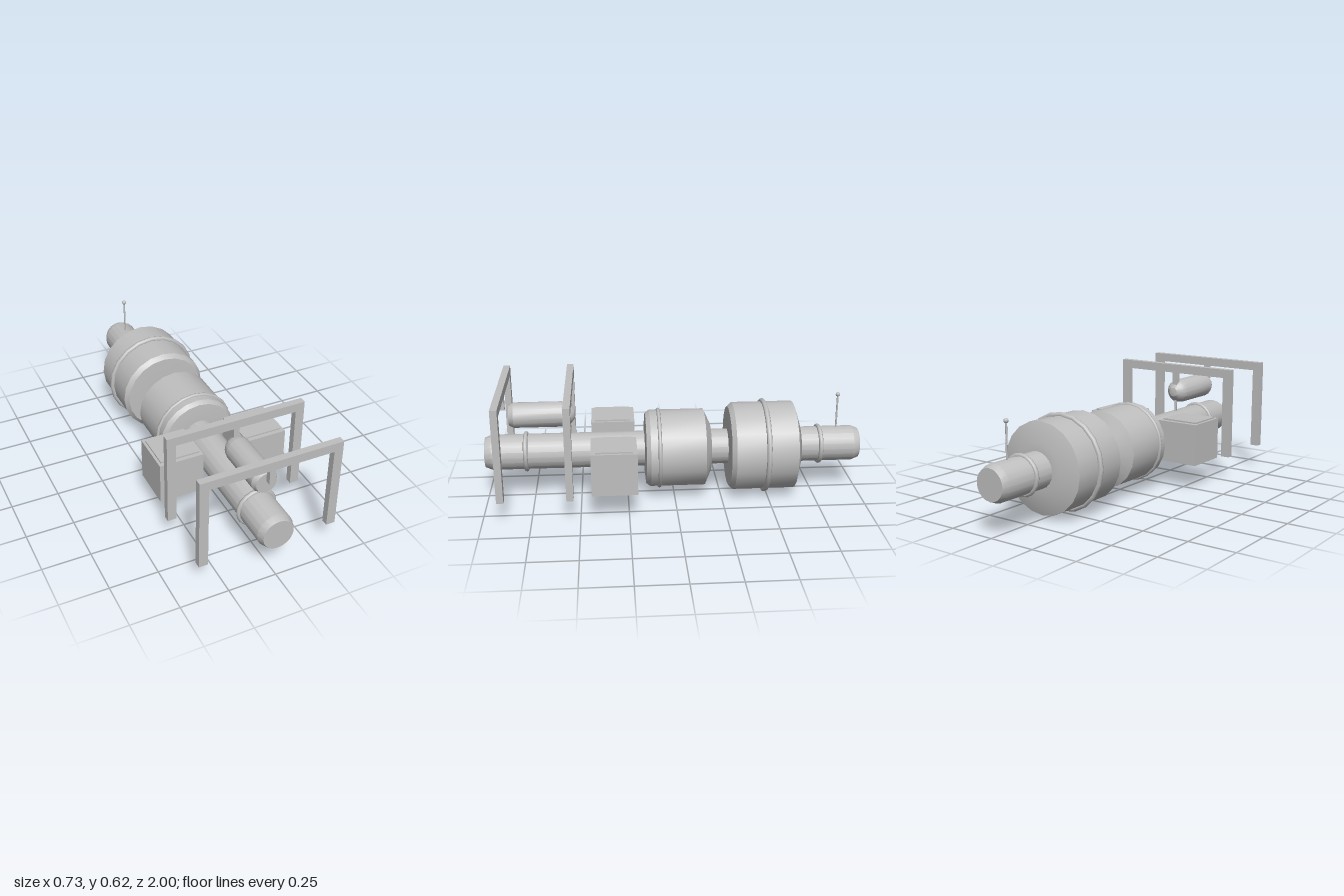
import * as THREE from 'three';
import { toCreasedNormals } from 'three/addons/utils/BufferGeometryUtils.js';

const AXIS_Y = 0.255;

export function createModel() {
  const model = new THREE.Group();
  const gray = new THREE.MeshStandardMaterial({ color: 0xbfbfbf });
  gray.name = 'hull gray';

  function add(name, geometry, x = 0, y = 0, z = 0, parent = model) {
    const mesh = new THREE.Mesh(geometry, gray);
    mesh.name = name;
    mesh.position.set(x, y, z);
    parent.add(mesh);
    return mesh;
  }

  // Solid of revolution around z from [radius, z] pairs, rear to front
  function turned(name, profile, y, sides = 20) {
    const points = profile.map(([r, z]) => new THREE.Vector2(r, z));
    const geometry = new THREE.LatheGeometry(points, sides).rotateX(Math.PI / 2);
    return add(name, toCreasedNormals(geometry, 0.4), 0, y, 0);
  }

  function box(name, x0, x1, y0, y1, z0, z1, parent) {
    add(name, new THREE.BoxGeometry(x1 - x0, y1 - y0, z1 - z0),
      (x0 + x1) / 2, (y0 + y1) / 2, (z0 + z1) / 2, parent);
  }

  // Central tube with bevelled ends
  turned('centralTube', [
    [0, -1], [0.08, -1], [0.094, -0.965], [0.094, 0.965], [0.08, 1], [0, 1],
  ], AXIS_Y);

  // Large rear drum and smaller middle drum
  turned('rearDrum', [
    [0.08, -0.672], [0.135, -0.672], [0.236, -0.64], [0.236, -0.315],
    [0.215, -0.292], [0.125, -0.287], [0.08, -0.287],
  ], AXIS_Y);
  turned('middleDrum', [
    [0.08, -0.194], [0.13, -0.194], [0.206, -0.16], [0.206, 0.13],
    [0.19, 0.152], [0.125, 0.158], [0.08, 0.158],
  ], AXIS_Y);

  // Raised bands: radius, thickness, position
  for (const [r, t, z] of [
    [0.096, 0.012, 0.785], [0.096, 0.012, -0.785],
    [0.206, 0.01, 0.082], [0.24, 0.014, -0.483],
  ]) add('band', new THREE.TorusGeometry(r, t, 8, 20), 0, AXIS_Y, z);

  // Suspended pod with a domed rear, and its support rod
  turned('pod', [
    [0, 0.517], [0.025, 0.522], [0.047, 0.539], [0.061, 0.56], [0.067, 0.59],
    [0.067, 0.84], [0.055, 0.865], [0, 0.865],
  ], 0.462, 16);
  add('podSupportRod', new THREE.CylinderGeometry(0.007, 0.007, 0.12, 8), 0, 0.385, 0.55);

  // Two gantry frames with short hangers
  for (const z of [0.9, 0.55]) {
    const frame = new THREE.Group();
    frame.name = 'gantryFrame';
    model.add(frame);
    const z0 = z - 0.018, z1 = z + 0.018;
    box('crossbeam', -0.367, 0.367, 0.574, 0.621, z0, z1, frame);
    box('rightPost', -0.367, -0.32, 0.126, 0.574, z0, z1, frame);
    box('leftPost', 0.32, 0.367, 0.126, 0.574, z0, z1, frame);
    box('hanger', -0.015, 0.015, 0.494, 0.574, z - 0.014, z + 0.014, frame);
  }

  // Side crates with lids
  for (const side of [-1, 1]) {
    const crate = new THREE.Group();
    crate.name = side > 0 ? 'leftCrate' : 'rightCrate';
    model.add(crate);
    const cx = side * 0.231;
    box('crateBody', cx - 0.118, cx + 0.118, 0.142, 0.366, 0.205, 0.44, crate);
    box('crateLid', cx - 0.104, cx + 0.104, 0.366, 0.374, 0.229, 0.418, crate);
  }

  // Rear antenna with a ball tip
  add('antennaMast', new THREE.CylinderGeometry(0.005, 0.005, 0.2, 8), 0, 0.435, -0.88);
  add('antennaTip', new THREE.SphereGeometry(0.012, 12, 8), 0, 0.534, -0.88);

  return model;
}
